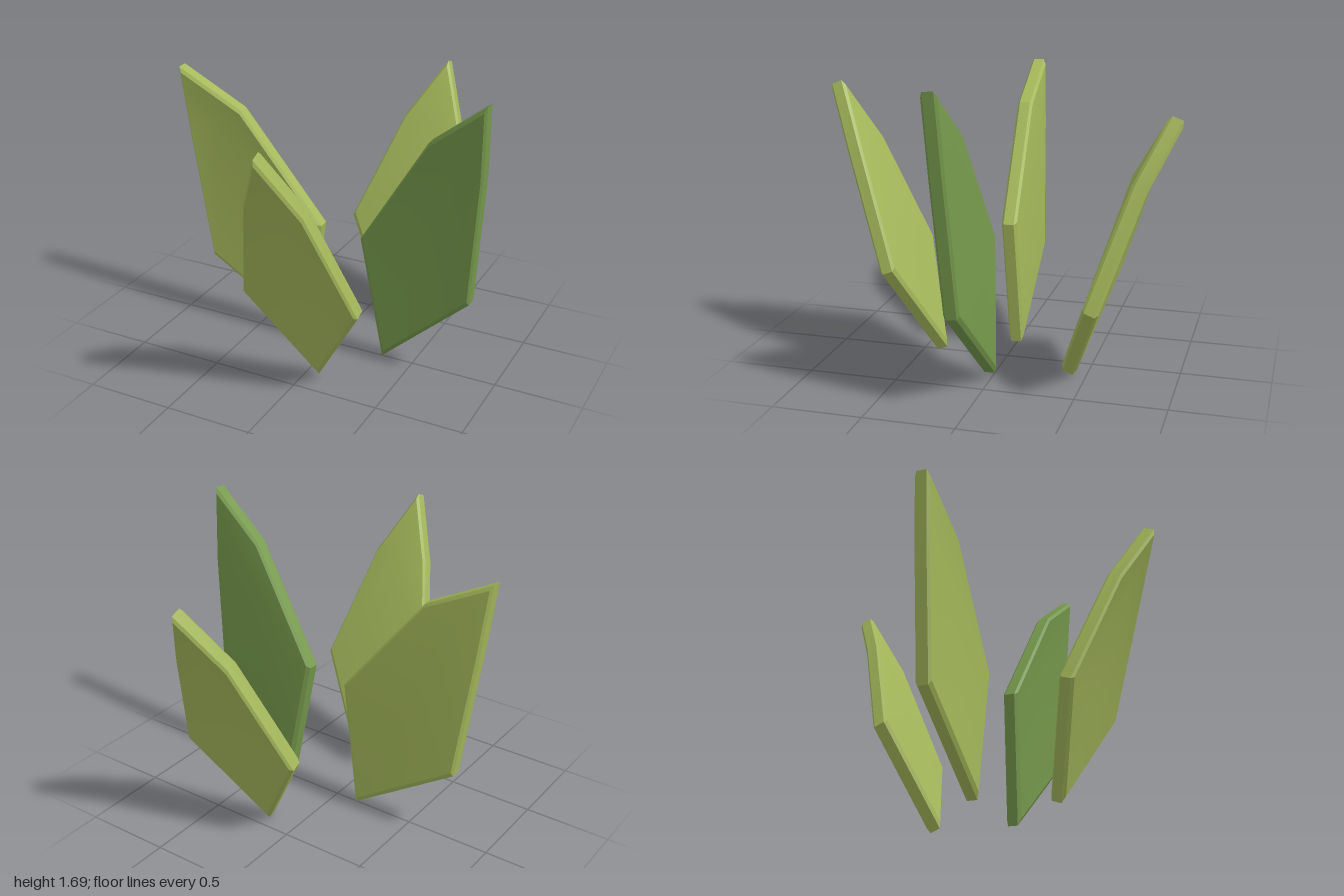
import * as THREE from 'three';
import { toCreasedNormals } from 'three/addons/utils/BufferGeometryUtils.js';

const olive = new THREE.MeshStandardMaterial({ color: 0xa5b95b });
olive.name = 'olive green';
const green = new THREE.MeshStandardMaterial({ color: 0x76994c });
green.name = 'deep green';

// Front cap triangles: 0 base, 1-2 right side, 3 tip, 4-5 left side, 6-7 midrib
const CAP = [[0, 1, 6], [0, 6, 5], [1, 2, 7], [1, 7, 6], [5, 6, 7], [5, 7, 4], [2, 3, 7], [7, 3, 4]];

// outline: base, right, upper right, tip, upper left, left; arch pushes the midrib along the normal
function makeLeaf(name, material, outline, arch) {
  const p = outline.map((a) => new THREE.Vector3(...a));
  const axis = p[3].clone().sub(p[0]);
  const normal = p[1].clone().sub(p[5]).cross(axis).normalize();
  const mid = p[1].clone().add(p[5]).multiplyScalar(0.5).addScaledVector(normal, arch);
  const upper = p[2].clone().add(p[4]).multiplyScalar(0.5).addScaledVector(normal, arch);
  const centre = mid.clone().add(upper).multiplyScalar(0.5);

  const ring = (scale, offset) => [...p, mid, upper].map((v) =>
    v.clone().sub(centre).multiplyScalar(scale).add(centre).addScaledVector(normal, offset));
  const rings = [ring(0.955, 0.044), ring(1, 0.03), ring(1, -0.03), ring(0.955, -0.044)];

  const pos = [];
  const tri = (a, b, c) => pos.push(...a.toArray(), ...b.toArray(), ...c.toArray());
  // broad faces
  for (const [a, b, c] of CAP) {
    tri(rings[0][a], rings[0][b], rings[0][c]);
    tri(rings[3][a], rings[3][c], rings[3][b]);
  }
  // chamfers and rim
  for (let r = 0; r < 3; r++) {
    for (let i = 0; i < 6; i++) {
      const j = (i + 1) % 6;
      const f = rings[r], k = rings[r + 1];
      tri(f[i], k[i], k[j]);
      tri(f[i], k[j], f[j]);
    }
  }
  const geo = new THREE.BufferGeometry();
  geo.setAttribute('position', new THREE.Float32BufferAttribute(pos, 3));
  const mesh = new THREE.Mesh(toCreasedNormals(geo, 0.4), material);
  mesh.name = name;
  return mesh;
}

export function createModel() {
  const plant = new THREE.Group();
  plant.name = 'leafCluster';
  plant.add(
    makeLeaf('frontLeaf', olive, [
      [0.10, 0.05, 0.36], [0.43, 0.59, 0.56], [0.25, 1.23, 0.805],
      [0.075, 1.565, 0.967], [-0.085, 1.23, 0.805], [-0.25, 0.59, 0.56]], -0.02),
    makeLeaf('backLeaf', olive, [
      [0.18, 0.012, -0.395], [0.585, 0.51, -0.59], [0.43, 1.16, -0.81],
      [0.285, 1.495, -0.968], [0.09, 1.18, -0.80], [-0.15, 0.56, -0.59]], 0.02),
    makeLeaf('rightLeaf', olive, [
      [-0.16, 0.03, -0.01], [-0.06, 0.77, 0.01], [-0.545, 1.39, 0.04],
      [-0.93, 1.59, 0.05], [-0.885, 1.2, 0.035], [-0.78, 0.43, 0.01]], -0.015),
    makeLeaf('leftLeaf', green, [
      [0.33, 0.03, 0.01], [0.855, 0.52, 0.06], [0.915, 1.28, 0.11],
      [0.925, 1.685, 0.14], [0.61, 1.43, 0.11], [0.205, 0.77, 0.05]], -0.015),
  );
  return plant;
}
